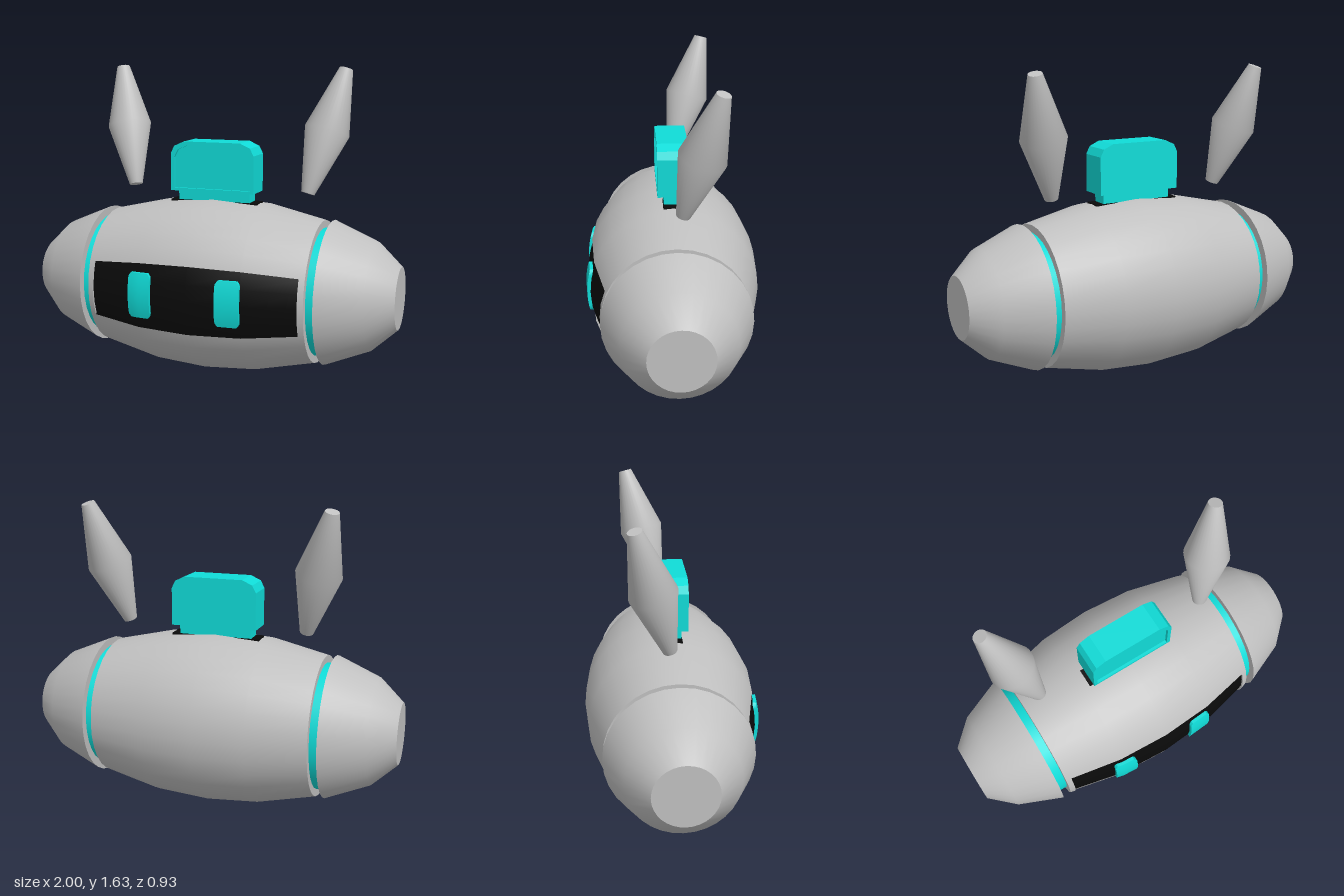
import * as THREE from 'three';

const SEG = Math.PI / 16; // one facet of the 32-sided hull
const CY = 0.47;          // height of the hull axis

// hull radius at a given x
function hullRadius(x) {
  const p = [[0, 0.465], [0.28, 0.446], [0.59, 0.376], [1, 0.28]];
  const a = Math.abs(x);
  const i = a < 0.28 ? 0 : a < 0.59 ? 1 : 2;
  return THREE.MathUtils.mapLinear(a, p[i][0], p[i + 1][0], p[i][1], p[i + 1][1]);
}

// lathe around the x axis; points are [x, radius] with x rising, angle 0 faces +z
function latheX(points, first = 0, count = 32) {
  const pts = points.map(([x, r]) => new THREE.Vector2(r, x));
  const g = new THREE.LatheGeometry(pts, count, first * SEG, count * SEG);
  g.rotateZ(-Math.PI / 2);
  g.translate(0, CY, 0);
  return g;
}

// outline with chamfered upper corners for the top block
function blockOutline(path, w, y0, y1) {
  path.moveTo(-w, y0);
  path.lineTo(w, y0);
  path.lineTo(w, y1 - 0.065);
  path.lineTo(w - 0.02, y1 - 0.025);
  path.lineTo(w - 0.075, y1);
  path.lineTo(-w + 0.075, y1);
  path.lineTo(-w + 0.02, y1 - 0.025);
  path.lineTo(-w, y1 - 0.065);
  path.closePath();
  return path;
}

export function createModel() {
  const model = new THREE.Group();
  const make = (name, color) => {
    const m = new THREE.MeshStandardMaterial({ color, side: THREE.DoubleSide });
    m.name = name;
    return m;
  };
  const grey = make('shell grey', 0xc0c0c0);
  const teal = make('glow teal', 0x10dcd8);
  const black = make('visor black', 0x0a0a0a);
  const add = (name, geometry, material) => {
    const mesh = new THREE.Mesh(geometry, material);
    mesh.name = name;
    model.add(mesh);
    return mesh;
  };

  // main hull, open at the front for the visor; doubled points keep edges sharp
  const xs = [-0.59, -0.28, 0, 0.28, 0.59];
  const hull = xs.map((x) => [x, hullRadius(x)]);
  add('hull', latheX([[-0.59, 0.3], hull[0], ...hull, hull[4], [0.59, 0.3]], 2, 28), grey);

  // grey strips closing the visor opening at each end
  for (const s of [-1, 1]) {
    const strip = [[0.56, 0.34], [0.56, hullRadius(0.56)], [0.56, hullRadius(0.56)],
      [0.59, 0.376], [0.59, 0.376], [0.59, 0.3]].map(([x, r]) => [s * x, r]);
    if (s < 0) strip.reverse();
    add('visorEndStrip', latheX(strip, -2, 4), grey);
  }

  // recessed visor, tucked under the hull edges
  const visorXs = [-0.575, -0.28, 0, 0.28, 0.575];
  add('visor', latheX(visorXs.map((x) => [x, hullRadius(x) - 0.01]), -3, 6), black);

  // eyes bent to follow the visor
  for (const cx of [-0.262, 0.219]) {
    const g = new THREE.BoxGeometry(0.126, 0.236, 0.018, 6, 16, 1);
    const p = g.attributes.position;
    for (let i = 0; i < p.count; i++) {
      const cut = Math.max(0, Math.abs(p.getY(i)) - 0.1);
      const x = cx + p.getX(i) * (1 - cut * 13);
      const y = p.getY(i) + 0.007;
      const r = hullRadius(x) + 0.001;
      p.setXYZ(i, x, y + CY, Math.sqrt(r * r - y * y) + p.getZ(i) - 0.003);
    }
    g.computeVertexNormals();
    add('eye', g, teal);
  }

  // end caps and the glowing bands in the gaps
  for (const s of [-1, 1]) {
    const cap = [[0.638, 0], [0.638, 0.38], [0.638, 0.38], [0.87, 0.283],
      [1, 0.163], [1, 0.163], [1, 0]].map(([x, r]) => [s * x, r]);
    const band = [[s * 0.58, 0.337], [s * 0.645, 0.337]];
    if (s < 0) { cap.reverse(); band.reverse(); }
    add('endCap', latheX(cap), grey);
    add('glowBand', latheX(band), teal);
  }

  // slot, neck and block on top
  const box = (name, w, y0, y1, d, material) => {
    const g = new THREE.BoxGeometry(w, y1 - y0, d);
    g.translate(0, (y0 + y1) / 2, 0);
    add(name, g, material);
  };
  box('topSlot', 0.488, 0.86, 0.923, 0.1, black);
  box('neck', 0.4, 0.88, 0.98, 0.092, teal);

  const solid = blockOutline(new THREE.Shape(), 0.233, 0.975, 1.24);
  const back = new THREE.ExtrudeGeometry(solid, { depth: 0.145, bevelEnabled: false });
  back.translate(0, 0, -0.08);
  add('topBlock', back, teal);
  const rimShape = blockOutline(new THREE.Shape(), 0.233, 0.975, 1.24);
  rimShape.holes.push(blockOutline(new THREE.Path(), 0.213, 0.99, 1.22));
  const rim = new THREE.ExtrudeGeometry(rimShape, { depth: 0.015, bevelEnabled: false });
  rim.translate(0, 0, 0.065);
  add('topBlockRim', rim, teal);

  // floating ears: double cones leaning out and back
  for (const s of [-1, 1]) {
    const low = new THREE.Vector3(s * 0.495, 0.98, -0.035);
    const high = new THREE.Vector3(s * 0.645, 1.622, -0.205);
    const axis = high.clone().sub(low);
    const h = axis.length() / 2;
    const pts = [[0, -h], [0.036, -h], [0.036, -h], [0.12, 0], [0.036, h], [0.036, h], [0, h]]
      .map(([r, y]) => new THREE.Vector2(r, y));
    const ear = add(s > 0 ? 'leftEar' : 'rightEar', new THREE.LatheGeometry(pts, 32), grey);
    ear.position.copy(low).add(high).multiplyScalar(0.5);
    ear.quaternion.setFromUnitVectors(new THREE.Vector3(0, 1, 0), axis.normalize());
  }

  return model;
}
